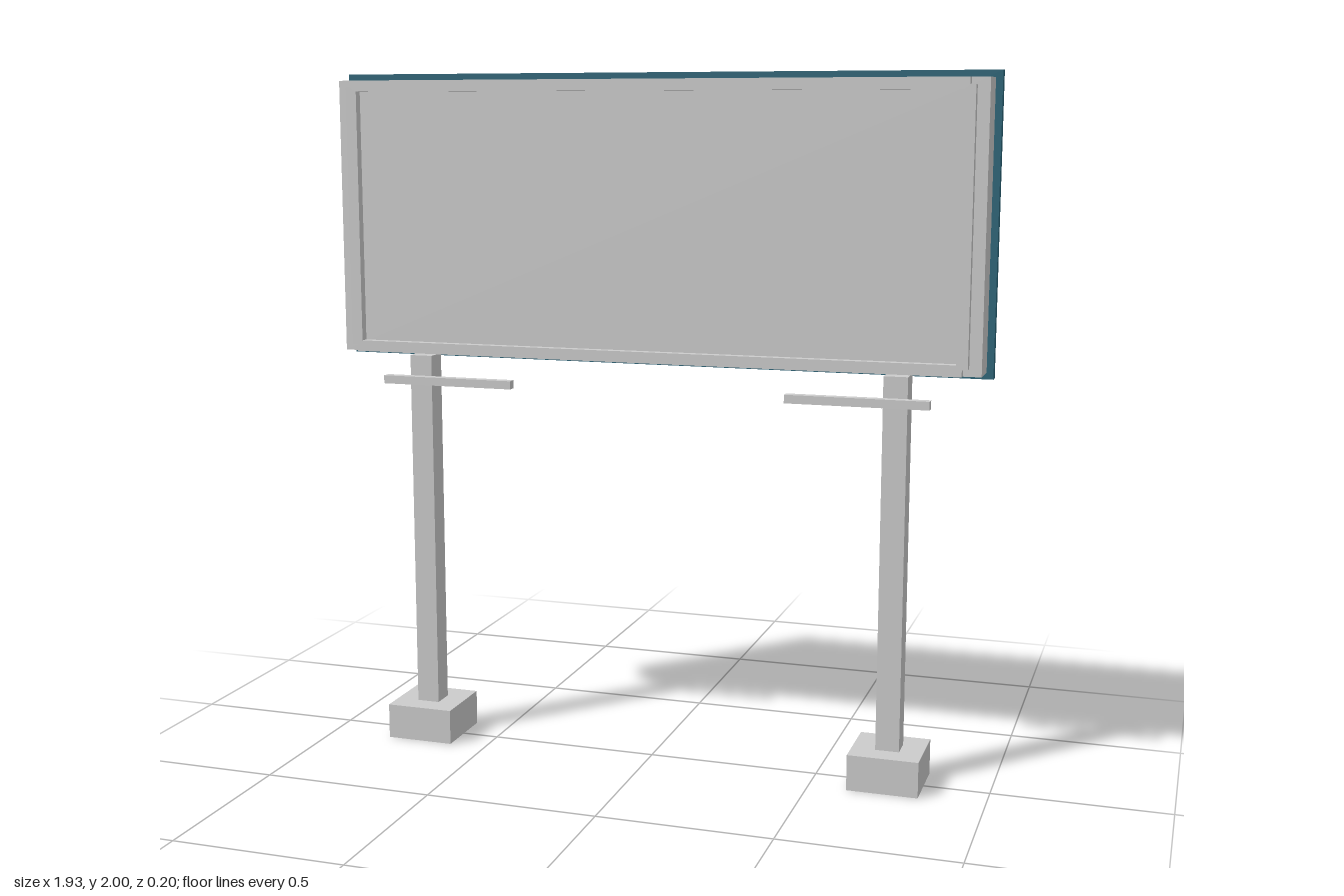
import * as THREE from 'three';

export function createModel() {
  const model = new THREE.Group();
  model.name = 'billboard';
  const grey = new THREE.MeshStandardMaterial({ color: 0xcccccc, flatShading: true });
  const teal = new THREE.MeshStandardMaterial({ color: 0x2a6478, flatShading: true });

  // Box given by its min and max on each axis
  function box(name, [x0, x1], [y0, y1], [z0, z1], material = grey, parent = model) {
    const mesh = new THREE.Mesh(new THREE.BoxGeometry(x1 - x0, y1 - y0, z1 - z0), material);
    mesh.position.set((x0 + x1) / 2, (y0 + y1) / 2, (z0 + z1) / 2);
    mesh.name = name;
    parent.add(mesh);
  }

  // Coloured back panel and the sign body in front of it
  box('backPanel', [-0.966, 0.966], [1.168, 2], [-0.076, -0.047], teal);
  box('signBody', [-0.947, 0.947], [1.187, 1.98], [-0.047, 0.052]);

  // Raised rim with stepped corners around the recessed face
  const midY = 1.584;
  const outerW = 0.913, stepW = 0.897, outerH = 0.396, stepH = 0.376;
  const rim = new THREE.Shape([
    [-stepW, -outerH], [stepW, -outerH], [stepW, -stepH], [outerW, -stepH],
    [outerW, stepH], [stepW, stepH], [stepW, outerH], [-stepW, outerH],
    [-stepW, stepH], [-outerW, stepH], [-outerW, -stepH], [-stepW, -stepH],
  ].map(([x, y]) => new THREE.Vector2(x, y)));
  rim.holes.push(new THREE.Path([
    [-0.881, -0.364], [-0.881, 0.364], [0.881, 0.364], [0.881, -0.364],
  ].map(([x, y]) => new THREE.Vector2(x, y))));
  const frame = new THREE.Mesh(
    new THREE.ExtrudeGeometry(rim, { depth: 0.025, bevelEnabled: false }), grey);
  frame.position.set(0, midY, 0.052);
  frame.name = 'frontFrame';
  model.add(frame);

  // Footing, post and lamp bar on each side
  for (const side of [-1, 1]) {
    const support = new THREE.Group();
    support.name = side < 0 ? 'rightSupport' : 'leftSupport';
    const span = (a, b) => (side < 0 ? [-b, -a] : [a, b]);
    box('footing', span(0.61, 0.813), [0, 0.104], [-0.101, 0.101], grey, support);
    box('post', span(0.678, 0.746), [0.104, 1.176], [-0.034, 0.034], grey, support);
    box('lampBar', span(0.409, 0.813), [1.094, 1.118], [0.049, 0.077], grey, support);
    model.add(support);
  }
  return model;
}
